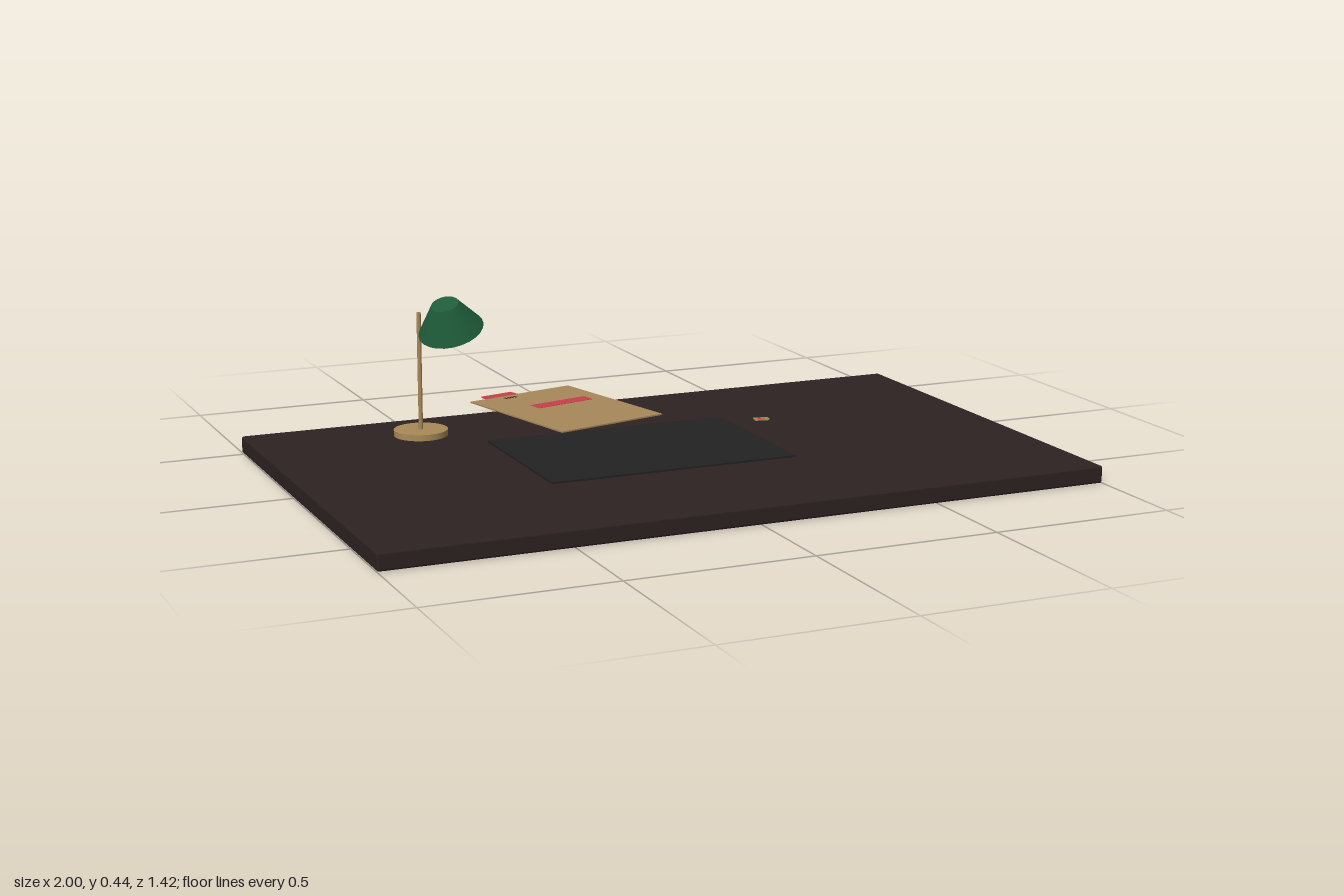
import * as THREE from 'three';
import { RoundedBoxGeometry } from 'three/addons/geometries/RoundedBoxGeometry.js';

const mat = (name, color) => {
  const m = new THREE.MeshStandardMaterial({ color });
  m.name = name;
  return m;
};

export function createModel() {
  const wood = mat('dark wood', 0x2d2222);
  const leather = mat('black leather', 0x222222);
  const manila = mat('manila', 0xa78859);
  const brass = mat('brass', 0xa98a58);
  const green = mat('green enamel', 0x1f5c3a);
  const red = mat('red', 0xc9404a);
  const ink = mat('dark ink', 0x4a3a28);

  const model = new THREE.Group();
  const add = (parent, name, geometry, material, x, y, z) => {
    const mesh = new THREE.Mesh(geometry, material);
    mesh.name = name;
    mesh.position.set(x, y, z);
    parent.add(mesh);
    return mesh;
  };
  const box = (w, h, d) => new THREE.BoxGeometry(w, h, d);
  const group = (name, x, y, z, turn = 0) => {
    const g = new THREE.Group();
    g.name = name;
    g.position.set(x, y, z);
    g.rotation.y = turn;
    model.add(g);
    return g;
  };

  // Desk top and writing pad
  const top = 0.047;
  add(model, 'deskTop', new RoundedBoxGeometry(2, top, 1.23, 2, 0.006), wood, 0, top / 2, 0.095);
  add(model, 'deskPad', box(0.7, 0.005, 0.48), leather, -0.05, top + 0.0025, 0.06);

  // Folder hanging over the back edge, with tab, stamp and label line
  const folder = group('folder', -0.065, 0.053, -0.447, 0.245);
  add(folder, 'folderCover', box(0.35, 0.004, 0.458), manila, 0, 0, 0);
  add(folder, 'folderTab', box(0.105, 0.004, 0.034), red, -0.062, 0.0005, -0.245);
  add(folder, 'folderStamp', box(0.19, 0.001, 0.045), red, 0.031, 0.0025, -0.06);
  for (let i = 0; i < 4; i++) {
    add(folder, 'labelMark', box(0.007, 0.001, 0.012), ink, -0.07 + i * 0.011, 0.0025, -0.2);
  }

  // Lamp: base, pole and tilted shade
  const lamp = group('lamp', -0.54, top, -0.335);
  add(lamp, 'lampBase', new THREE.CylinderGeometry(0.075, 0.075, 0.017, 24), brass, 0, 0.0085, 0);
  add(lamp, 'lampPole', new THREE.CylinderGeometry(0.006, 0.006, 0.346, 10), brass, 0, 0.173, 0);
  const shade = add(lamp, 'lampShade', new THREE.CylinderGeometry(0.038, 0.091, 0.084, 24), green, 0.06, 0.341, 0.071);
  shade.rotation.set(0.3, 0, 0.3);

  // Small trinket lying beside the pad
  const trinket = group('trinket', 0.397, 0.052, -0.107, -0.2);
  for (const side of [-1, 1]) {
    add(trinket, 'trinketEnd', box(0.01, 0.004, 0.024), manila, side * 0.016, 0, 0);
    add(trinket, 'trinketBar', box(0.022, 0.004, 0.005), manila, 0, 0, side * 0.009);
  }
  add(trinket, 'trinketCentre', box(0.018, 0.004, 0.009), red, 0, 0, 0);

  return model;
}
